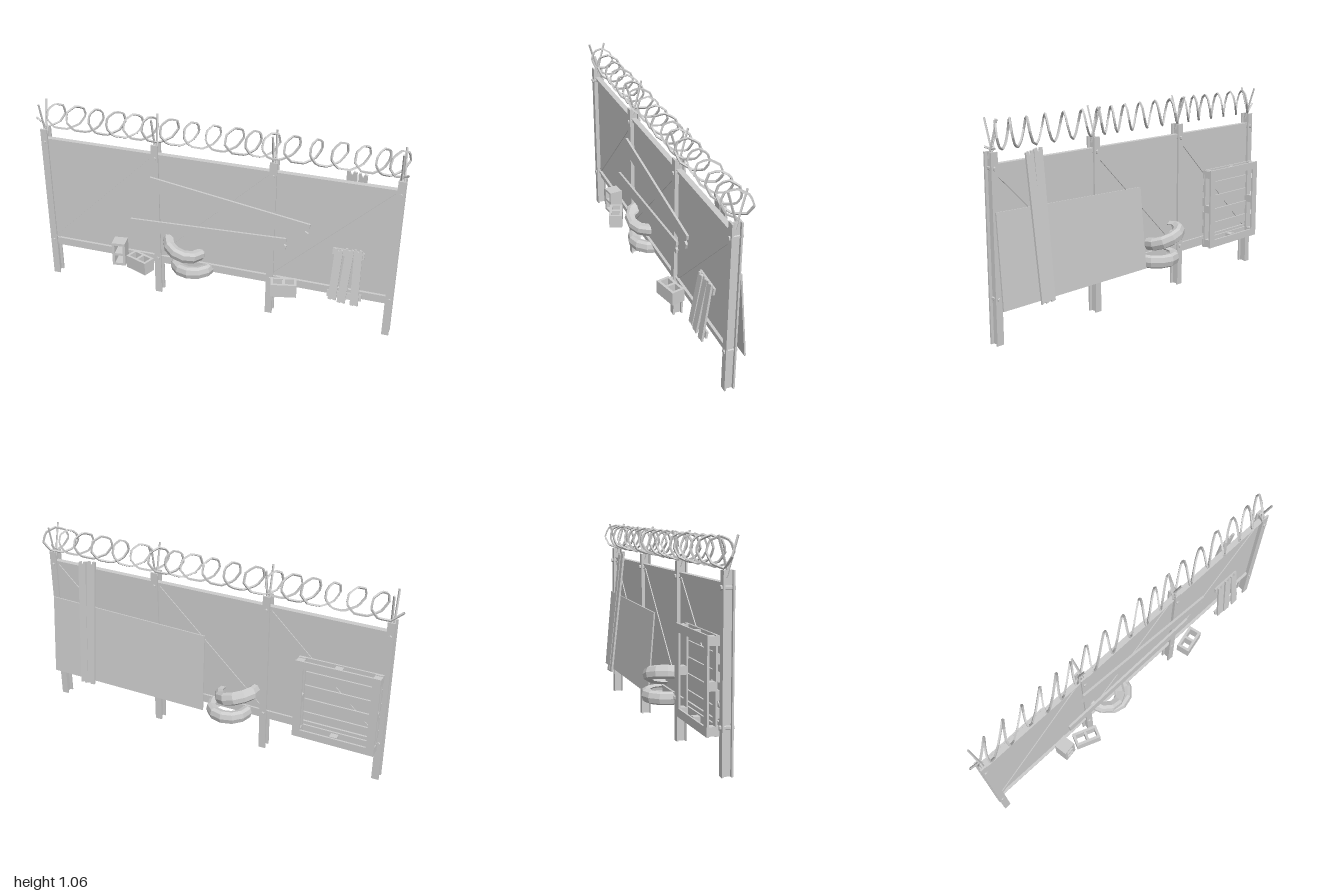
import * as THREE from 'three';

const mat = new THREE.MeshStandardMaterial({ color: 0xcccccc, flatShading: true, side: THREE.DoubleSide });

function add(parent, name, geo, pos = [0, 0, 0], rot = [0, 0, 0]) {
  const m = new THREE.Mesh(geo, mat);
  m.name = name;
  m.position.set(...pos);
  m.rotation.set(...rot);
  parent.add(m);
  return m;
}
const box = (w, h, d) => new THREE.BoxGeometry(w, h, d);

function extrude(points, depth, holes = []) {
  const shape = new THREE.Shape(points.map(p => new THREE.Vector2(...p)));
  for (const h of holes) shape.holes.push(new THREE.Path(h.map(p => new THREE.Vector2(...p))));
  return new THREE.ExtrudeGeometry(shape, { depth, bevelEnabled: false }).translate(0, 0, -depth / 2);
}

// Board along x with splintered ends
function plank(len, w, t, notch = 0.02) {
  const l = len / 2, h = w / 2;
  return extrude([[-l, -h], [l - notch * 0.3, -h], [l, -h * 0.3], [l - notch, -h * 0.1], [l - notch * 0.6, h * 0.3],
    [l, h * 0.4], [l, h], [-l + notch * 0.2, h], [-l, h * 0.2], [-l + notch * 0.4, 0]], t);
}

const rect = (x, y, w, h) => [[x - w / 2, y - h / 2], [x + w / 2, y - h / 2], [x + w / 2, y + h / 2], [x - w / 2, y + h / 2]];

// Hollow block: length on x, holes along z
const blockGeo = () => extrude(rect(0, 0, 0.138, 0.074), 0.074,
  [rect(-0.031, 0, 0.048, 0.046), rect(0.031, 0, 0.048, 0.046)]);

// Low-poly hollow tyre
function tyreGeo() {
  const p = [[0.078, -0.028], [0.105, -0.036], [0.122, -0.026], [0.129, 0], [0.122, 0.026], [0.105, 0.036],
    [0.078, 0.028], [0.084, 0.02], [0.108, 0.02], [0.112, 0], [0.108, -0.02], [0.084, -0.02], [0.078, -0.028]];
  return new THREE.LatheGeometry(p.map(q => new THREE.Vector2(...q)), 12);
}

// Straight rod between two points
function rod(parent, name, a, b, r) {
  const A = new THREE.Vector3(...a), B = new THREE.Vector3(...b), d = B.clone().sub(A);
  const m = add(parent, name, new THREE.CylinderGeometry(r, r, d.length(), 4));
  m.position.copy(A).add(B).multiplyScalar(0.5);
  m.quaternion.setFromUnitVectors(new THREE.Vector3(0, 1, 0), d.normalize());
}

export function createModel() {
  const root = new THREE.Group();
  root.name = 'scrapFence';
  const group = name => { const g = new THREE.Group(); g.name = name; root.add(g); return g; };
  const postX = [-0.945, -0.308, 0.332, 0.97];

  // I-beam posts with bolts and a V of rods on top
  for (const x of postX) {
    const g = group('post');
    const f = 0.019, z = 0.027, t = 0.009, w = 0.004;
    const beam = extrude([[-f, -z], [f, -z], [f, -z + t], [w, -z + t], [w, z - t], [f, z - t], [f, z],
      [-f, z], [-f, z - t], [-w, z - t], [-w, -z + t], [-f, -z + t]], 0.91);
    add(g, 'beam', beam, [x, 0.455, 0.002], [-Math.PI / 2, 0, 0]);
    for (const y of [0.222, 0.835]) {
      add(g, 'bolt', new THREE.CylinderGeometry(0.011, 0.011, 0.07, 6), [x, y, 0.001], [Math.PI / 2, 0, 0]);
    }
    for (const s of [-1, 1]) rod(g, 'topRod', [x - 0.008 * s, 0.88, -0.008 * s], [x - 0.004, 1.06, 0.045 * s], 0.006);
  }

  // Sheet infill, rails and diagonal braces
  add(root, 'fencePanel', box(1.92, 0.66, 0.004), [0.012, 0.51, 0]);
  for (const y of [0.222, 0.842]) {
    add(root, 'rail', box(1.915, 0.02, 0.018), [0.012, y, 0.002]);
    add(root, 'railLip', box(1.915, 0.005, 0.03), [0.012, y + 0.01, 0.002]);
  }
  for (let i = 0; i < 3; i++) {
    const x0 = postX[i] + 0.015, x1 = postX[i + 1] - 0.015;
    const dx = x1 - x0, dy = 0.59;
    add(root, 'brace', box(Math.hypot(dx, dy), 0.022, 0.014), [(x0 + x1) / 2, 0.53, 0], [0, 0, Math.atan2(dy, dx)]);
  }

  // Coiled wire: slanted loops, bunched towards each post
  const centres = [];
  for (let i = 0; i < 3; i++) for (const c of [-0.89, -0.757, -0.65, -0.527, -0.43, -0.35]) centres.push(c + i * 0.65);
  const pts = [new THREE.Vector3(-0.995, 0.965, 0)];
  const SEG = 8;
  for (let i = 0; i < centres.length; i++) {
    const prev = centres[i - 1] ?? centres[i] - 0.09, next = centres[i + 1] ?? centres[i] + 0.07;
    for (let k = 0; k < SEG; k++) {
      const u = k / SEG, t = u * Math.PI * 2;
      const a = (prev + centres[i]) / 2, b = (centres[i] + next) / 2;
      const wob = 1 + 0.1 * Math.sin(i * 2.3);
      pts.push(new THREE.Vector3(a + (b - a) * u + 0.055 * wob * Math.sin(t),
        0.984 - 0.069 * Math.cos(t), -0.01 - 0.055 * wob * Math.sin(t)));
    }
  }
  pts.push(new THREE.Vector3(0.955, 0.917, -0.01), new THREE.Vector3(0.995, 0.935, 0.01));
  const path = new THREE.CurvePath();
  for (let i = 1; i < pts.length; i++) path.add(new THREE.LineCurve3(pts[i - 1], pts[i]));
  const coil = new THREE.CatmullRomCurve3(pts, false, 'catmullrom', 0.1);
  add(root, 'wireCoil', new THREE.TubeGeometry(coil, (pts.length - 1) * 2, 0.0065, 4));

  // Planks nailed across the front
  add(root, 'upperPlank', plank(0.885, 0.085, 0.012), [0.095, 0.622, 0.036], [0, 0, -0.148]);
  add(root, 'lowerPlank', plank(0.875, 0.068, 0.012, 0.012), [-0.018, 0.443, 0.04], [0, 0, 0.042]);

  // Small broken crate side leaning on the front
  const crate = group('crateSide');
  crate.position.set(0.742, 0.335, 0.045);
  crate.rotation.x = -0.14;
  [[-0.054, 0.29, -0.04], [-0.002, 0.31, -0.06], [0.054, 0.315, 0.02]].forEach(([x, l, r]) =>
    add(crate, 'crateSlat', plank(l, 0.042, 0.011, 0.012), [x, 0, 0.006], [0, 0, Math.PI / 2 + r]));
  add(crate, 'crateBatten', box(0.165, 0.036, 0.011), [0, 0.125, -0.006], [0, 0, -0.03]);
  add(crate, 'crateBatten', box(0.18, 0.036, 0.011), [0, -0.115, -0.006], [0, 0, 0.02]);

  // Hollow blocks
  const upright = add(root, 'hollowBlock', blockGeo(), [-0.518, 0.246, 0.06]);
  upright.rotation.set(0, 0.15, Math.PI / 2, 'YXZ');
  for (const [x, z, r] of [[-0.388, 0.089, -0.37], [0.422, 0.075, 0.24]]) {
    const b = add(root, 'hollowBlock', blockGeo(), [x, 0.214, z]);
    b.rotation.set(-Math.PI / 2, r, 0, 'YXZ');
  }

  // Two stacked tyres
  add(root, 'lowerTyre', tyreGeo(), [-0.113, 0.2, -0.02]);
  add(root, 'upperTyre', tyreGeo(), [-0.16, 0.312, -0.022], [0.2, 0.2, -0.32]);

  // Large sheet and tall planks leaning on the back
  add(root, 'backSheet', extrude([[0.025, 0], [0.985, 0.005], [0.98, 0.465], [0.03, 0.44]], 0.008),
    [0, 0.175, -0.072], [0.085, 0, 0]);
  add(root, 'tallPlank', plank(0.735, 0.052, 0.011), [0.722, 0.537, -0.065], [0.108, 0, Math.PI / 2 + 0.01]);
  add(root, 'tallPlank', plank(0.725, 0.045, 0.011), [0.768, 0.533, -0.068], [0.108, 0, Math.PI / 2 - 0.015]);

  // Pallet standing against the back
  const pallet = group('pallet');
  pallet.position.set(-0.72, 0.405, -0.058);
  for (const s of [-1, 1]) {
    add(pallet, 'palletSide', box(0.042, 0.45, 0.01), [s * 0.199, 0, -0.025]);
    add(pallet, 'palletEnd', box(0.44, 0.042, 0.01), [0, s * 0.204, -0.025]);
    add(pallet, 'palletStringer', box(0.04, 0.45, 0.009), [s * 0.199, 0, 0.015]);
  }
  for (const x of [-0.199, 0, 0.199]) for (const y of [-0.2, 0, 0.2]) {
    if (x || y) add(pallet, 'palletBlock', box(0.04, 0.042, 0.034), [x, y, -0.004]);
  }
  for (let i = 0; i < 6; i++) add(pallet, 'palletSlat', box(0.44, 0.046, 0.009), [0, -0.2 + i * 0.08, 0.024]);

  return root;
}
